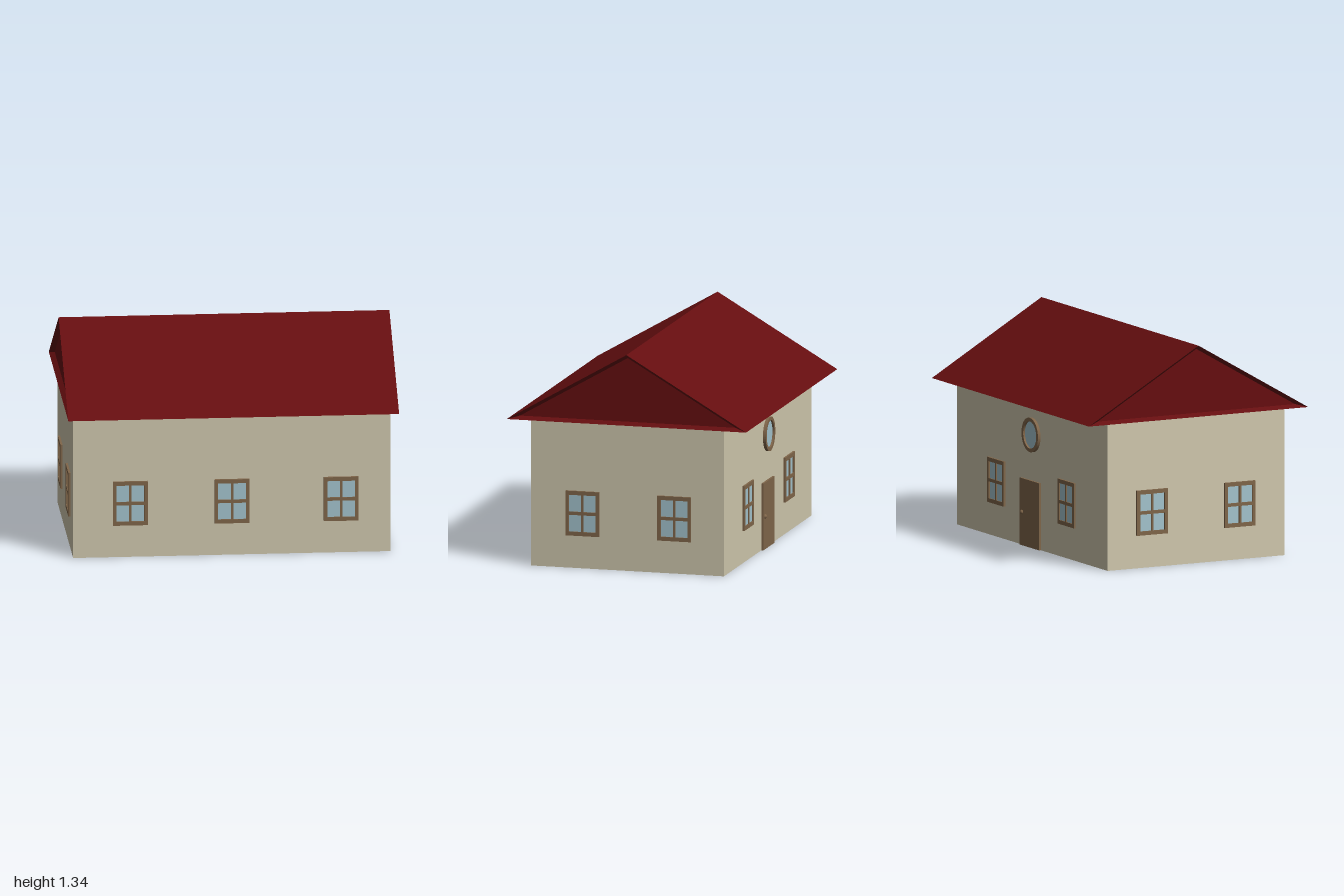
import * as THREE from 'three';

const mat = (name, color) => {
  const m = new THREE.MeshStandardMaterial({ color });
  m.name = name;
  return m;
};

export function createModel() {
  const house = new THREE.Group();
  house.name = 'house';
  const wallMat = mat('cream wall', 0xd0c8ae);
  const roofMat = mat('dark red roof', 0x660e10);
  const woodMat = mat('brown wood', 0x80664a);
  const glassMat = mat('pale blue glass', 0xa4c4ce);
  const FRONT = 0.61, BACK = -0.6, SIDE = 0.96;

  const add = (parent, name, geo, material, x = 0, y = 0, z = 0) => {
    const m = new THREE.Mesh(geo, material);
    m.name = name;
    m.position.set(x, y, z);
    parent.add(m);
    return m;
  };

  // Walls
  add(house, 'walls', new THREE.BoxGeometry(2 * SIDE, 0.9, FRONT - BACK), wallMat,
    0, 0.45, (FRONT + BACK) / 2);

  // Gable roof: a triangular prism whose ends have a bevelled, recessed panel
  const outer = [[0.75, 0.9], [-0.75, 0.9], [0, 1.335]]; // z, y
  const inner = [[0.675, 0.92], [-0.675, 0.92], [0, 1.311]];
  const pos = [];
  const tri = (a, b, c) => pos.push(...a, ...b, ...c);
  const quad = (a, b, c, d) => { tri(a, b, c); tri(a, c, d); };
  const at = (x, [z, y]) => [x, y, z];
  for (let i = 0; i < 3; i++) {
    const j = (i + 1) % 3;
    quad(at(1, outer[i]), at(-1, outer[i]), at(-1, outer[j]), at(1, outer[j]));
    quad(at(1, outer[i]), at(1, outer[j]), at(0.97, inner[j]), at(0.97, inner[i]));
    quad(at(-1, outer[j]), at(-1, outer[i]), at(-0.97, inner[i]), at(-0.97, inner[j]));
  }
  tri(...inner.map((p) => at(0.97, p)));
  tri(...inner.map((p) => at(-0.97, p)).reverse());
  const roofGeo = new THREE.BufferGeometry();
  roofGeo.setAttribute('position', new THREE.Float32BufferAttribute(pos, 3));
  roofGeo.computeVertexNormals();
  add(house, 'roof', roofGeo, roofMat);

  // Four-pane window, its back on the wall and facing local +z
  const rectPath = (path, x0, y0, x1, y1) => path.moveTo(x0, y0).lineTo(x1, y0)
    .lineTo(x1, y1).lineTo(x0, y1).closePath();
  const W = 0.105, H = 0.1375, depth = 0.013;
  const frame = rectPath(new THREE.Shape(), -W, -H, W, H);
  for (const sx of [-1, 1]) for (const sy of [-1, 1]) {
    const xs = [sx * 0.007, sx * 0.084].sort((a, b) => a - b);
    const ys = [sy * 0.01, sy * 0.113].sort((a, b) => a - b);
    frame.holes.push(rectPath(new THREE.Path(), xs[0], ys[0], xs[1], ys[1]));
  }
  const frameGeo = new THREE.ExtrudeGeometry(frame, { depth, bevelEnabled: false });
  const paneGeo = new THREE.BoxGeometry(0.18, 0.24, 0.005);
  const addWindow = (name, x, z, turn) => {
    const g = new THREE.Group();
    g.name = name;
    add(g, 'windowFrame', frameGeo, woodMat);
    add(g, 'windowGlass', paneGeo, glassMat, 0, 0, 0.0025);
    g.position.set(x, 0.3375, z);
    g.rotation.y = turn;
    house.add(g);
  };
  for (const x of [-0.615, 0, 0.66]) addWindow('frontWindow', x, FRONT, 0);
  for (const x of [-0.447, 0.447]) addWindow('backWindow', x, BACK, Math.PI);
  for (const z of [-0.29, 0.285]) addWindow('leftWindow', SIDE, z, Math.PI / 2);
  for (const z of [-0.3, 0.3]) addWindow('rightWindow', -SIDE, z, -Math.PI / 2);

  // Round window above the door
  const round = new THREE.Group();
  round.name = 'roundWindow';
  const ring = new THREE.Shape().absarc(0, 0, 0.105, 0, Math.PI * 2);
  ring.holes.push(new THREE.Path().absarc(0, 0, 0.083, 0, Math.PI * 2, true));
  add(round, 'roundFrame',
    new THREE.ExtrudeGeometry(ring, { depth: 0.018, bevelEnabled: false, curveSegments: 32 }), woodMat);
  add(round, 'roundGlass', new THREE.CylinderGeometry(0.09, 0.09, 0.006, 32), glassMat, 0, 0, 0.003)
    .rotation.x = Math.PI / 2;
  round.position.set(0, 0.69, BACK);
  round.rotation.y = Math.PI;
  house.add(round);

  // Back door and knob
  add(house, 'door', new THREE.BoxGeometry(0.245, 0.41, 0.013), woodMat, 0.015, 0.205, BACK - 0.0065);
  add(house, 'doorKnob', new THREE.SphereGeometry(0.014, 16, 12), woodMat, 0.107, 0.203, BACK - 0.012);

  return house;
}
